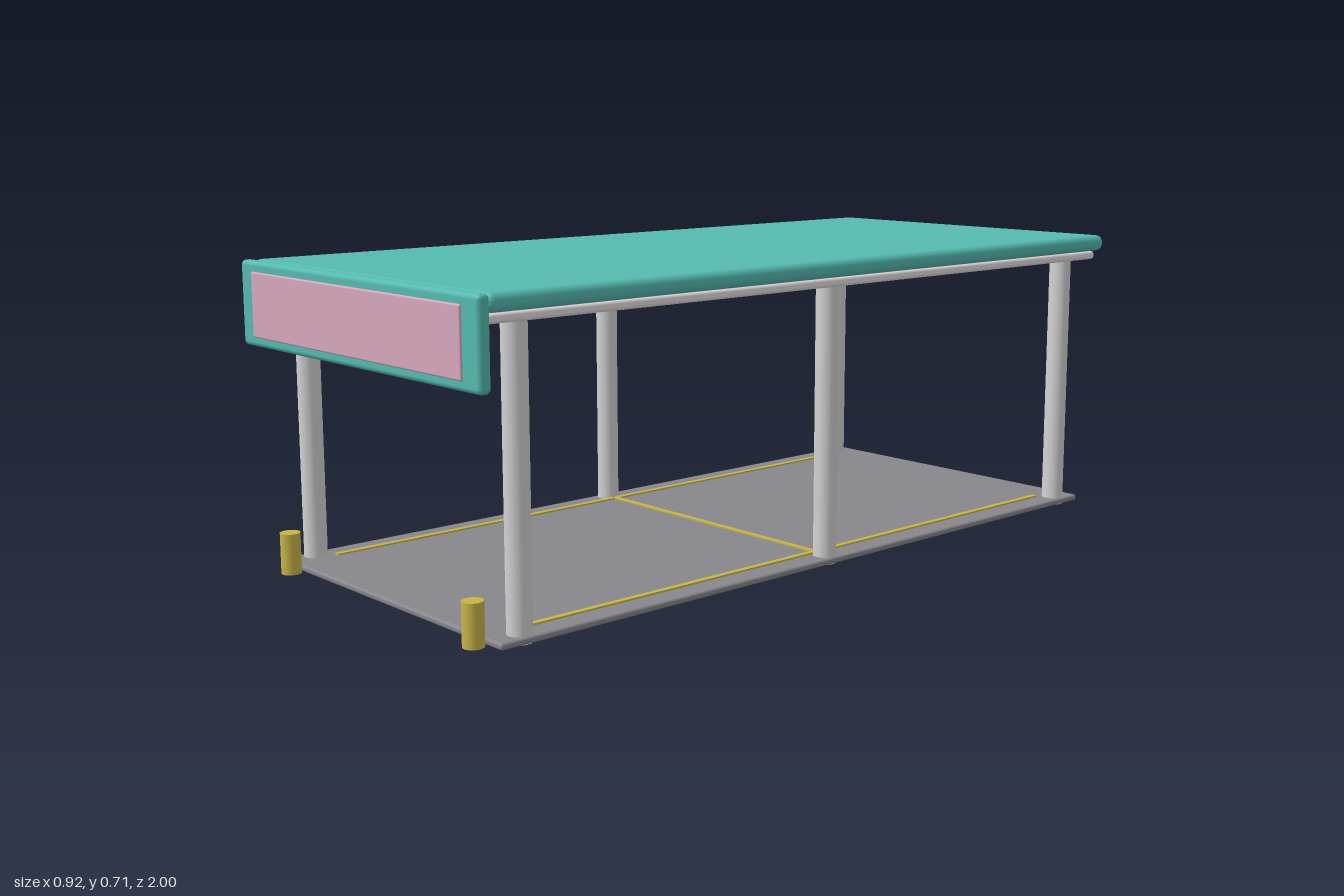
import * as THREE from 'three';
import { RoundedBoxGeometry } from 'three/addons/geometries/RoundedBoxGeometry.js';

const material = (name, color) => {
  const m = new THREE.MeshStandardMaterial({ color });
  m.name = name;
  return m;
};

export function createModel() {
  const group = new THREE.Group();
  const teal = material('teal', 0x55bab0);
  const pink = material('pink', 0xd6a8bc);
  const white = material('off white', 0xe4dcde);
  const steel = material('light grey', 0xd2d2d4);
  const slab = material('slab grey', 0x86868c);
  const yellow = material('yellow', 0xc8b548);

  const add = (name, geometry, mat, x, y, z) => {
    const mesh = new THREE.Mesh(geometry, mat);
    mesh.name = name;
    mesh.position.set(x, y, z);
    group.add(mesh);
  };
  // Rounded box given by its [min, max] extents
  const block = (name, mat, [x0, x1], [y0, y1], [z0, z1], radius) =>
    add(name, new RoundedBoxGeometry(x1 - x0, y1 - y0, z1 - z0, 4, radius), mat,
      (x0 + x1) / 2, (y0 + y1) / 2, (z0 + z1) / 2);
  // Upright cylinder from y0 to y1
  const column = (name, mat, radius, y0, y1, x, z) =>
    add(name, new THREE.CylinderGeometry(radius, radius, y1 - y0, 32), mat, x, (y0 + y1) / 2, z);

  // Canopy: roof, lining below it, front sign board
  block('roof', teal, [-0.457, 0.457], [0.672, 0.712], [-0.998, 0.967], 0.018);
  block('roofLining', white, [-0.437, 0.437], [0.649, 0.67], [-0.983, 0.957], 0.008);
  add('liningJoint', new THREE.BoxGeometry(0.86, 0.02, 1.9), white, 0, 0.67, -0.013);
  block('fascia', teal, [-0.46, 0.46], [0.52, 0.712], [0.963, 0.993], 0.011);
  block('signPanel', pink, [-0.405, 0.405], [0.542, 0.689], [0.989, 0.998], 0.004);

  // Ground slab
  block('baseSlab', slab, [-0.43, 0.43], [0.003, 0.018], [-0.953, 0.935], 0.006);

  // Posts, bollards and lane lines on both sides
  for (const side of [-1, 1]) {
    for (const z of [0.867, -0.01, -0.887]) column('post', steel, 0.027, 0.001, 0.652, side * 0.398, z);
    column('bollard', yellow, 0.023, 0, 0.095, side * 0.36, 0.952);
    add('laneLine', new THREE.BoxGeometry(0.014, 0.005, 1.68), yellow, side * 0.368, 0.0195, -0.01);
  }
  add('crossLine', new THREE.BoxGeometry(0.736, 0.005, 0.014), yellow, 0, 0.0193, -0.01);

  return group;
}
